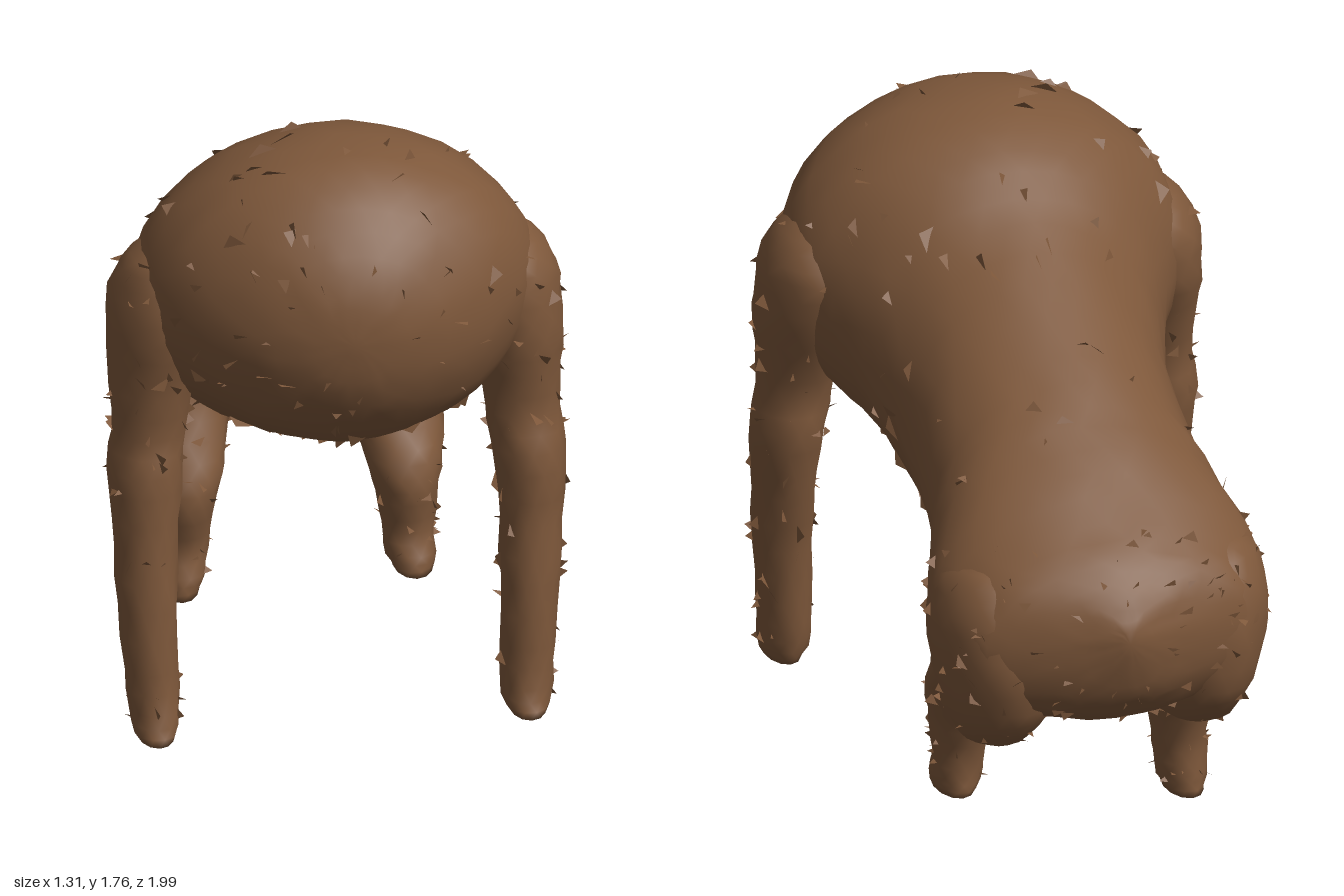
import * as THREE from 'three';

const fur = new THREE.MeshStandardMaterial({ color: 0x7d573a });
fur.name = 'brownFur';

// Small seeded generator for the ragged fur surface
function seeded(seed) {
  return () => {
    seed = (seed * 1664525 + 1013904223) % 4294967296;
    return seed / 4294967296;
  };
}

// Skin elliptical rings along an axis. Each section: [centre x, y, z, radius x, other radius]
function loft(name, sections, axis, rings, sides, seed) {
  const rand = seeded(seed);
  const centres = new THREE.CatmullRomCurve3(sections.map(s => new THREE.Vector3(s[0], s[1], s[2])), false, 'catmullrom', 0.4);
  const radii = new THREE.CatmullRomCurve3(sections.map(s => new THREE.Vector3(s[3], s[4], 0)), false, 'catmullrom', 0.4);
  const pos = [], index = [];
  const surface = (i, j, lift) => {
    const t = i / rings, c = centres.getPoint(t), r = radii.getPoint(t);
    const a = (j / sides) * Math.PI * 2;
    const u = (r.x + lift) * Math.cos(a), v = (r.y + lift) * Math.sin(a);
    return axis === 'z' ? [c.x + u, c.y + v, c.z] : [c.x + u, c.y, c.z - v];
  };
  for (let i = 0; i <= rings; i++) {
    for (let j = 0; j < sides; j++) {
      const lift = i > 0 && i < rings ? (rand() - 0.5) * 0.01 : 0;
      pos.push(...surface(i, j + (i % 2) * 0.5, lift));
    }
  }
  for (let i = 0; i < rings; i++) {
    for (let j = 0; j < sides; j++) {
      const k = (j + 1) % sides;
      const a = i * sides + j, b = i * sides + k, c = a + sides, d = b + sides;
      if (i % 2) index.push(a, b, d, a, d, c);
      else index.push(a, b, c, b, d, c);
    }
  }
  // Close both ends
  for (const end of [0, rings]) {
    const c = centres.getPoint(end / rings), hub = pos.length / 3, base = end * sides;
    pos.push(c.x, c.y, c.z);
    for (let j = 0; j < sides; j++) {
      const k = (j + 1) % sides;
      if (end) index.push(hub, base + j, base + k);
      else index.push(hub, base + k, base + j);
    }
  }
  // Small sharp tufts lying against the skin, each a two-sided shard
  for (let n = 0; n < rings * sides * 0.2; n++) {
    const i = 2 + rand() * (rings - 4), j = rand() * sides;
    const di = (rand() - 0.5) * 1.6, dj = (rand() - 0.5) * 1.6;
    const shard = [
      surface(i, j, -0.004),
      surface(i + di, j + dj, -0.004),
      surface(i + di * 0.5 - dj * 0.3, j + dj * 0.5 + di * 0.3, 0.012 + rand() * 0.012),
    ];
    const base = pos.length / 3;
    pos.push(...shard.flat(), ...shard.flat());
    index.push(base, base + 1, base + 2, base + 3, base + 5, base + 4);
  }
  const g = new THREE.BufferGeometry();
  g.setAttribute('position', new THREE.Float32BufferAttribute(pos, 3));
  g.setIndex(index);
  g.computeVertexNormals();
  const mesh = new THREE.Mesh(g, fur);
  mesh.name = name;
  return mesh;
}

// Barrel body, rump to chest: [z, bottom, top, half width]
const BODY = [
  [-0.995, 0.68, 0.76, 0.03], [-0.96, 0.56, 0.82, 0.14], [-0.92, 0.50, 0.87, 0.26],
  [-0.87, 0.45, 0.92, 0.38], [-0.8, 0.42, 0.97, 0.44], [-0.65, 0.40, 1.08, 0.48],
  [-0.5, 0.44, 1.18, 0.44], [-0.35, 0.53, 1.27, 0.39], [-0.1, 0.61, 1.42, 0.385],
  [0.1, 0.69, 1.54, 0.42], [0.25, 0.75, 1.66, 0.48], [0.4, 0.79, 1.73, 0.56],
  [0.55, 0.85, 1.75, 0.57], [0.7, 0.90, 1.73, 0.51], [0.83, 0.95, 1.65, 0.40],
  [0.93, 1.06, 1.53, 0.26], [0.98, 1.17, 1.42, 0.13], [0.995, 1.27, 1.33, 0.03],
];

// Limbs, ground upwards: [y, inner x, outer x, back z, front z]
const FRONT_LEG = [
  [0.03, 0.47, 0.57, 0.58, 0.77], [0.08, 0.45, 0.59, 0.56, 0.74], [0.2, 0.45, 0.60, 0.54, 0.72],
  [0.4, 0.45, 0.62, 0.52, 0.71], [0.6, 0.45, 0.63, 0.47, 0.69], [0.78, 0.43, 0.645, 0.43, 0.69],
  [0.9, 0.42, 0.63, 0.43, 0.66], [1.05, 0.39, 0.635, 0.38, 0.68], [1.18, 0.36, 0.64, 0.32, 0.70],
  [1.3, 0.33, 0.63, 0.30, 0.70], [1.39, 0.33, 0.59, 0.34, 0.67], [1.45, 0.36, 0.52, 0.42, 0.59],
  [1.47, 0.42, 0.46, 0.48, 0.53],
];
const HIND_LEG = [
  [0.03, 0.27, 0.38, -0.46, -0.25], [0.08, 0.25, 0.39, -0.46, -0.26], [0.16, 0.24, 0.39, -0.46, -0.29],
  [0.28, 0.22, 0.40, -0.50, -0.26], [0.38, 0.19, 0.42, -0.56, -0.28], [0.5, 0.17, 0.43, -0.68, -0.36],
  [0.65, 0.18, 0.42, -0.74, -0.43], [0.74, 0.24, 0.38, -0.68, -0.50],
];
const HAUNCH = [
  [0.31, 0.25, 0.33, -0.64, -0.52], [0.35, 0.19, 0.39, -0.76, -0.48], [0.45, 0.14, 0.44, -0.86, -0.45],
  [0.6, 0.12, 0.475, -0.90, -0.43], [0.75, 0.12, 0.485, -0.88, -0.44], [0.86, 0.16, 0.44, -0.82, -0.48],
  [0.92, 0.24, 0.34, -0.70, -0.58],
];

function limb(name, rows, side, drop, slide, rings, sides, seed) {
  const last = rows.length - 1;
  const sections = rows.map(([y, x0, x1, z0, z1], i) => {
    const k = 1 - i / last; // the foot takes most of the offset
    return [side * (x0 + x1) / 2, y + drop * k, (z0 + z1) / 2 + slide * k, (x1 - x0) / 2, (z1 - z0) / 2];
  });
  return loft(name, sections, 'y', rings, sides, seed);
}

export function createModel() {
  const model = new THREE.Group();
  model.name = 'headlessAnimal';

  model.add(loft('body', BODY.map(([z, b, t, w]) => [0, (b + t) / 2, z, w, (t - b) / 2]), 'z', 40, 32, 7));

  // The limbs are mirrored, with a slight difference in stance
  for (const side of [1, -1]) {
    const word = side > 0 ? 'left' : 'right';
    model.add(limb(word + 'FrontLeg', FRONT_LEG, side, side > 0 ? 0.02 : -0.01, 0, 28, 12, 21 + side));
    model.add(limb(word + 'HindLeg', HIND_LEG, side, side > 0 ? 0.03 : -0.03, side > 0 ? 0.01 : -0.04, 18, 12, 31 + side));
    model.add(limb(word + 'Haunch', HAUNCH, side, 0, 0, 16, 18, 41 + side));
  }
  return model;
}
